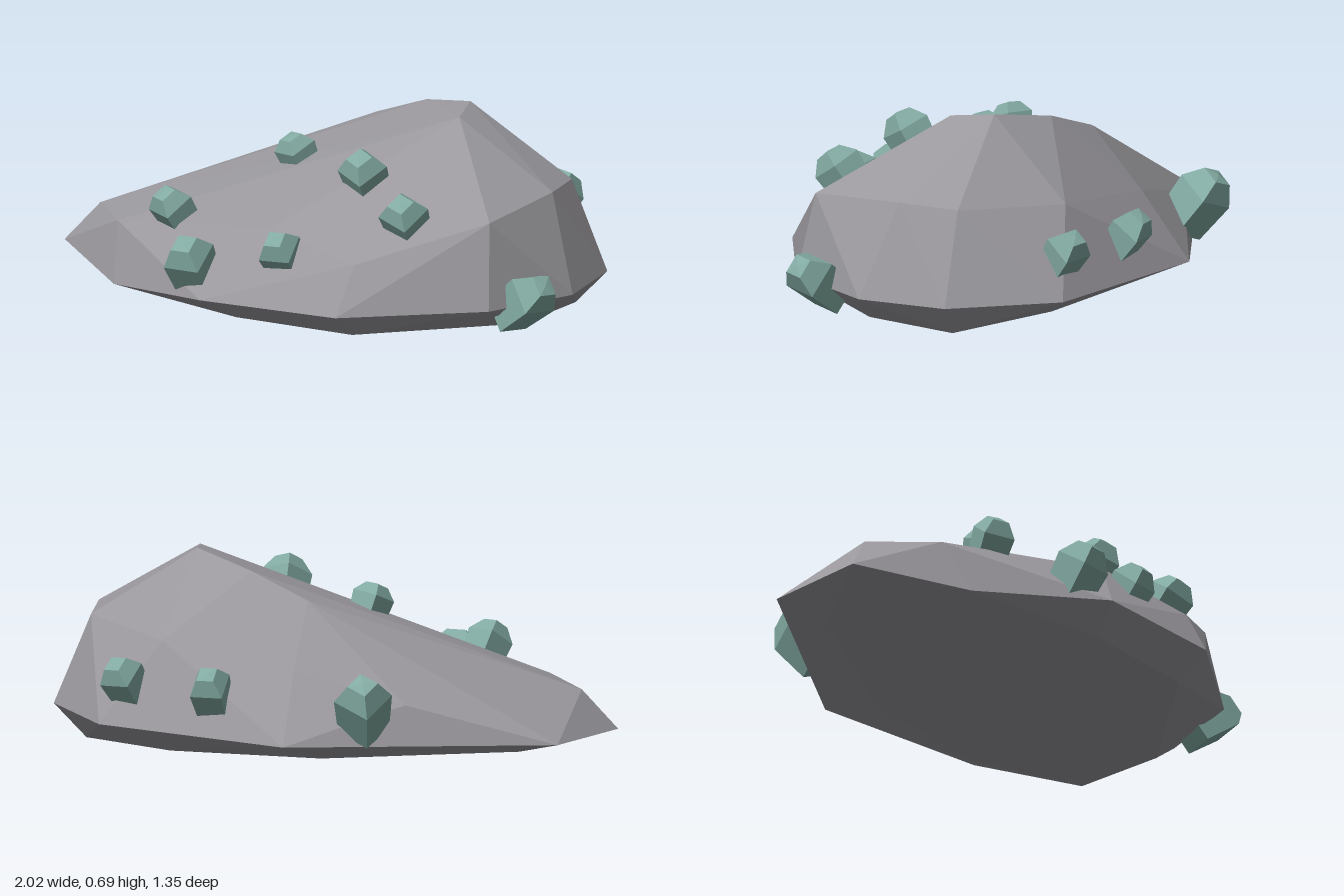
import * as THREE from 'three';
import { ConvexGeometry } from 'three/addons/geometries/ConvexGeometry.js';

const rockGrey = new THREE.MeshStandardMaterial({ color: 0x9a989d });
const crystalTeal = new THREE.MeshStandardMaterial({ color: 0x82aaa2 });

// Boulder: faceted hull over rings of corners, from the underside to the ridge
function makeBoulder() {
  const underside = [
    [-0.74, 0.03, -0.15], [-0.1, 0.015, -0.41], [0.45, 0.01, -0.41], [0.82, 0, -0.22],
    [0.8, 0.005, 0.12], [0.36, 0.01, 0.55], [-0.1, 0.01, 0.55], [-0.66, 0.02, 0.42],
  ];
  const rim = [
    [-1, 0.07, 0.16], [-0.91, 0.08, -0.24], [-0.05, 0.1, -0.68], [0.66, 0.12, -0.57],
    [0.93, 0.12, -0.25], [0.97, 0.12, 0.07], [0.82, 0.12, 0.4], [0.36, 0.1, 0.67], [-0.18, 0.09, 0.67],
  ];
  const flanks = [
    [-0.88, 0.21, 0.12], [-0.7, 0.22, 0.32], [0.38, 0.27, 0.57], [0, 0.33, 0.49],
    [0.79, 0.42, 0.34], [0.84, 0.45, -0.02], [0.8, 0.44, -0.23], [0.46, 0.41, -0.47],
    [-0.03, 0.34, -0.5], [-0.42, 0.23, -0.45],
  ];
  const ridge = [[0.47, 0.67, -0.02], [0.43, 0.685, -0.17], [0.2, 0.635, -0.27], [-0.02, 0.55, -0.31]];
  const points = [...underside, ...rim, ...flanks, ...ridge].map((p) => new THREE.Vector3(...p));
  const mesh = new THREE.Mesh(new ConvexGeometry(points), rockGrey);
  mesh.name = 'boulder';
  return mesh;
}

// Crystal: four-sided stub with a bevelled tip, unit size, centred on its middle
function makeCrystalGeometry() {
  const profile = [[0, -0.65], [0.6, -0.65], [0.68, 0.15], [0.36, 0.5], [0, 0.54]];
  const lathe = new THREE.LatheGeometry(profile.map((p) => new THREE.Vector2(...p)), 4);
  const flat = lathe.toNonIndexed();
  flat.computeVertexNormals();
  return flat;
}

// position, outward axis, width, length, twist
const crystals = [
  [[-0.46, 0.31, 0.36], [-0.2, 0.8, 0.5], 0.12, 0.14, 0.3],
  [[-0.26, 0.2, 0.59], [0, 0.75, 0.5], 0.14, 0.18, 0.79],
  [[0.08, 0.27, 0.555], [0, 0.75, 0.6], 0.12, 0.15, 0.85],
  [[0.25, 0.51, 0.27], [0.05, 0.8, 0.5], 0.13, 0.15, 0.35],
  [[0.49, 0.42, 0.41], [0.1, 0.75, 0.55], 0.13, 0.14, 0.5],
  [[-0.13, 0.49, 0.07], [-0.2, 0.85, 0.3], 0.11, 0.11, 0.4],
  [[0.91, 0.15, 0.28], [0.75, 0.6, 0.2], 0.14, 0.2, 0.4],
  [[-0.31, 0.25, -0.58], [-0.15, 0.7, -0.5], 0.15, 0.2, 0.45],
  [[0.24, 0.27, -0.6], [0, 0.75, -0.55], 0.12, 0.16, 0.8],
  [[0.58, 0.28, -0.54], [0.2, 0.7, -0.5], 0.12, 0.15, 0.5],
];

export function createModel() {
  const model = new THREE.Group();
  model.name = 'crystalBoulder';
  model.add(makeBoulder());

  const geometry = makeCrystalGeometry();
  const up = new THREE.Vector3(0, 1, 0);
  crystals.forEach(([position, axis, width, length, twist], i) => {
    const mesh = new THREE.Mesh(geometry, crystalTeal);
    mesh.name = `crystal${i + 1}`;
    mesh.position.set(...position);
    mesh.quaternion.setFromUnitVectors(up, new THREE.Vector3(...axis).normalize());
    mesh.rotateY(twist);
    mesh.scale.set(width, length, width);
    model.add(mesh);
  });
  return model;
}
